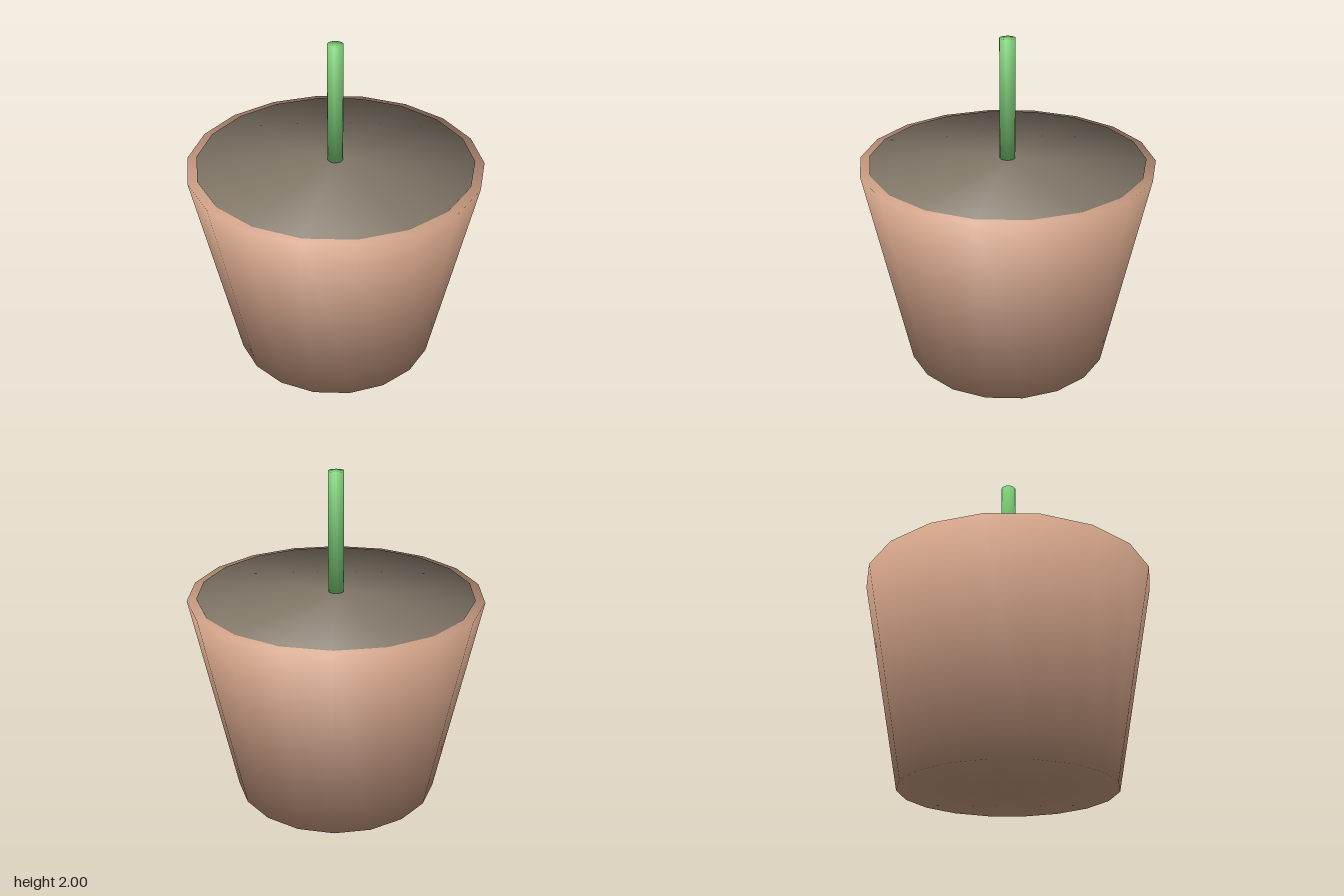
import * as THREE from 'three';

const SIDES = 18;

// Closed tapered solid whose wall and caps share smooth normals
function smoothFrustum(bottomR, topR, y0, y1) {
  const profile = [[0, y0], [bottomR, y0], [topR, y1], [0, y1]]
    .map(([r, y]) => new THREE.Vector2(r, y));
  const geo = new THREE.LatheGeometry(profile, SIDES, Math.PI / 2);
  const wall = new THREE.Vector2(y1 - y0, bottomR - topR).normalize();
  const cap = 1 - 2 / SIDES; // corner angle of a cap relative to the wall
  const ring = [
    new THREE.Vector2(0, -1),
    new THREE.Vector2(wall.x, wall.y - cap).normalize(),
    new THREE.Vector2(wall.x, wall.y + cap).normalize(),
    new THREE.Vector2(0, 1),
  ];
  const normals = geo.attributes.normal;
  for (let i = 0; i < normals.count; i++) {
    const n = ring[i % 4];
    const a = Math.PI / 2 + Math.floor(i / 4) * 2 * Math.PI / SIDES;
    normals.setXYZ(i, n.x * Math.sin(a), n.y, n.x * Math.cos(a));
  }
  return geo;
}

export function createModel() {
  const group = new THREE.Group();
  const material = (name, color) => {
    const m = new THREE.MeshStandardMaterial({ color });
    m.name = name;
    return m;
  };
  const add = (name, geometry, mat) => {
    const mesh = new THREE.Mesh(geometry, mat);
    mesh.name = name;
    group.add(mesh);
  };

  // Flower pot
  add('pot', smoothFrustum(0.625, 0.875, 0, 1.27), material('terracotta', 0xd2a388));
  // Earth filling, just proud of the rim
  add('soil', smoothFrustum(0.575, 0.82, 0.02, 1.28), material('earth', 0x84796a));
  // Upright stem
  add('stem', smoothFrustum(0.046, 0.046, 1.2, 2), material('stemGreen', 0x7acb74));

  return group;
}
